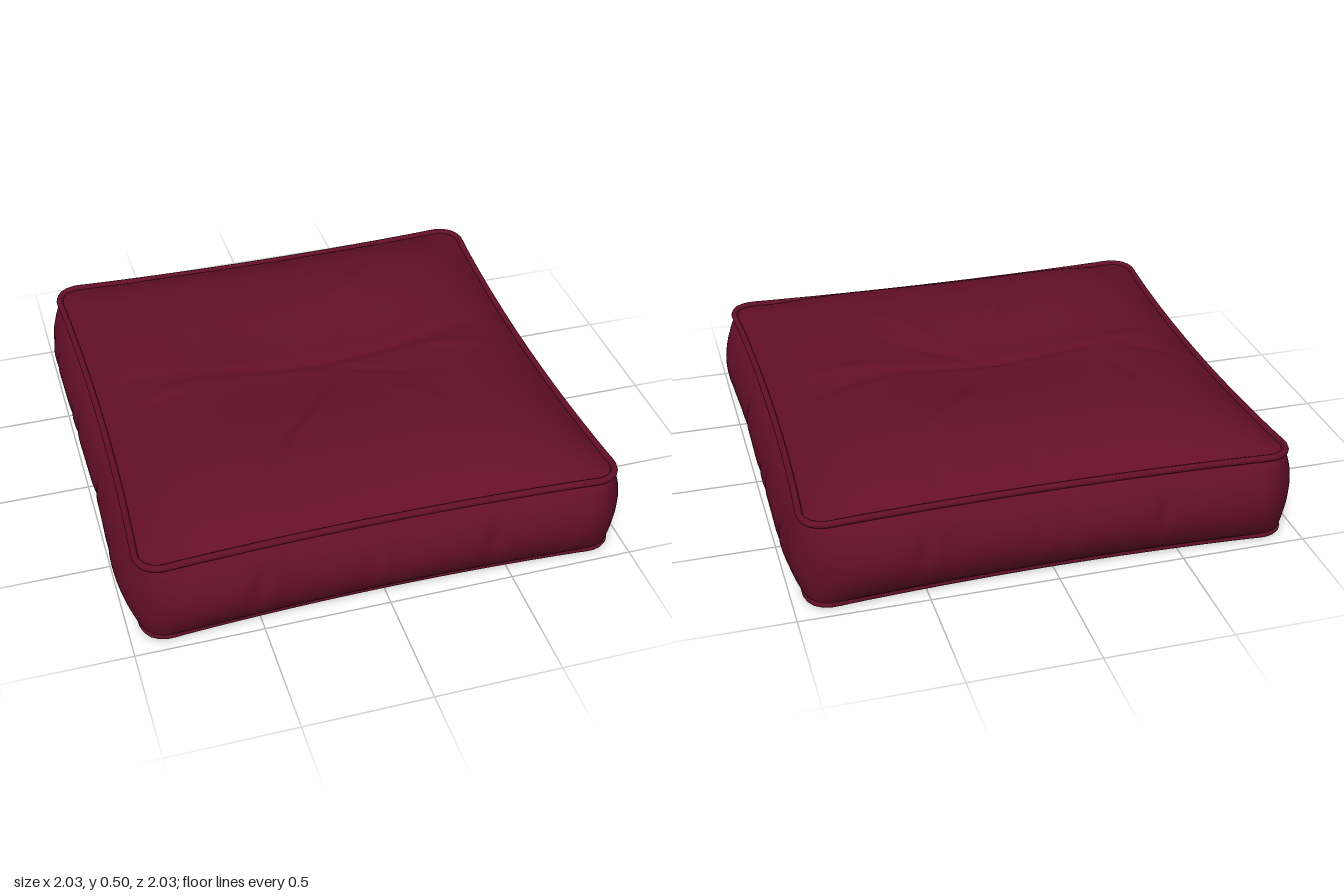
import * as THREE from 'three';

const H = 0.95;        // half width at the seam corners
const R = 0.1;         // seam corner radius
const N = 288;         // points around the cushion

const clamp = THREE.MathUtils.clamp;

// Point j of the rounded square outline, walked from +x towards +z
function outline(j) {
  const t = ((j % N) / N) * 4;
  const side = Math.floor(t + 0.5) % 4;
  const u = (t + 0.5 - Math.floor(t + 0.5)) * 2 - 1;
  let [x, z] = [[H, u * H], [-u * H, H], [-H, -u * H], [u * H, -H]][side];
  const cx = clamp(x, R - H, H - R), cz = clamp(z, R - H, H - R);
  const d = Math.hypot(x - cx, z - cz);
  if (d > 0) {
    x = cx + ((x - cx) / d) * R;
    z = cz + ((z - cz) / d) * R;
  }
  return [x, z];
}

// Seams pull in between the corners
const pinch = (x, z) => [
  x * (1 - 0.035 * (1 - (z / H) ** 2)),
  z * (1 - 0.035 * (1 - (x / H) ** 2)),
];

// Seam heights, sagging along the left and right sides
const topSeam = (x, z) => 0.362 - 0.018 * (1 - (z / H) ** 2) * (x / H) ** 4;
const lowSeam = (x, z) =>
  0.015 + 0.016 * (1 - (z / H) ** 2) * (x / H) ** 4 + 0.005 * (1 - (x / H) ** 2) * (z / H) ** 4;

// Fabric folds on the top: x, z, angle, length, width, height
const folds = [
  [-0.72, -0.1, 0.25, 0.14, 0.03, -0.012], [-0.62, 0.02, -0.1, 0.2, 0.04, 0.01],
  [0.62, -0.08, -0.2, 0.2, 0.035, -0.013], [0.6, 0.04, 0.12, 0.18, 0.035, 0.01],
  [0.28, -0.48, -0.75, 0.16, 0.04, 0.01], [0.18, -0.25, -1.0, 0.15, 0.04, -0.008],
  [-0.28, 0.5, -0.9, 0.2, 0.03, -0.014], [-0.14, 0.42, -0.95, 0.2, 0.035, 0.012],
  [-0.36, 0.66, -1.2, 0.12, 0.03, 0.008], [0.2, 0.1, 0.5, 0.2, 0.03, -0.008],
  [-0.5, -0.3, 1.4, 0.12, 0.03, -0.006], [0.3, 0.35, 0.9, 0.18, 0.04, 0.006],
  [-0.62, -0.83, 1.4, 0.07, 0.025, -0.01], [0.05, -0.84, 1.5, 0.06, 0.025, -0.01],
  [0.42, -0.84, 1.2, 0.07, 0.025, -0.01], [0, -0.02, 0, 0.6, 0.03, -0.012],
];

function topHeight(x, z) {
  const fill = (1 - Math.abs(x / H) ** 5) * (1 - Math.abs(z / H) ** 5);
  let y = 0.15
    - 0.032 * Math.exp(-((z / 0.35) ** 2))
    - 0.05 * Math.exp(-(x * x + z * z) / 0.17)
    + 0.004 * Math.sin(5 * x + 3 * z) * Math.sin(6 * z - 2 * x);
  for (const [fx, fz, a, len, wid, h] of folds) {
    const dx = x - fx, dz = z - fz;
    const along = dx * Math.cos(a) + dz * Math.sin(a);
    const across = dz * Math.cos(a) - dx * Math.sin(a);
    y += h * Math.exp(-((along / len) ** 2) - (across / wid) ** 2);
  }
  return topSeam(x, z) + y * fill;
}

// Vertical puckers on the side band: position along the side, lean, depth
const puckers = [
  [-0.52, 0.06, 0.014], [-0.4, -0.03, 0.012], [-0.08, 0.04, 0.01],
  [0.04, -0.08, 0.014], [0.41, 0.05, 0.016], [0.72, -0.04, 0.008],
];

function pucker(s, v) {
  let d = 0.005 * Math.sin(7 * s + 1);
  for (const [p, lean, depth] of puckers) {
    const c = s - p - lean * (v - 0.5);
    d -= depth * Math.exp(-((c / 0.03) ** 2) - ((v - 0.62) / 0.3) ** 2);
  }
  return d * Math.sin(Math.PI * v);
}

// Skin over closed rings; point(row 0..1, x, z) gives each vertex
function skin(rows, point) {
  const pos = [], index = [];
  for (let i = 0; i <= rows; i++) {
    for (let j = 0; j < N; j++) pos.push(...point(i / rows, ...outline(j)));
  }
  for (let i = 0; i < rows; i++) {
    for (let j = 0; j < N; j++) {
      const k = (j + 1) % N;
      const a = i * N + j, b = i * N + k;
      index.push(a, a + N, b, b, a + N, b + N);
    }
  }
  const g = new THREE.BufferGeometry();
  g.setAttribute('position', new THREE.Float32BufferAttribute(pos, 3));
  g.setIndex(index);
  g.computeVertexNormals();
  return g;
}

export function createModel() {
  const fabric = new THREE.MeshStandardMaterial({ color: 0x640f28 });
  fabric.name = 'burgundy fabric';
  const lining = new THREE.MeshStandardMaterial({ color: 0x3b2725 });
  lining.name = 'dark brown lining';

  const group = new THREE.Group();
  group.name = 'cushion';
  const add = (name, geometry, material) => {
    const mesh = new THREE.Mesh(geometry, material);
    mesh.name = name;
    group.add(mesh);
  };

  // Puffed top panel with a sat-in middle
  add('topPanel', skin(64, (t, x, z) => {
    const s = 1 - t;
    const [px, pz] = pinch(x, z);
    return [px * s, topHeight(x * s, z * s), pz * s];
  }), fabric);

  // Bulging side band between the two seams
  add('sideBand', skin(18, (v, x, z) => {
    const [px, pz] = pinch(x, z);
    const bulge = 0.085 * Math.sin(Math.PI * v) ** 0.75;
    const onX = 1 - Math.abs(z / H) ** 8, onZ = 1 - Math.abs(x / H) ** 8;
    return [
      px + (x / H) * onX * (bulge + pucker(z * 0.9 + 0.2, v) * 0.7 * Math.abs(x / H) ** 8),
      THREE.MathUtils.lerp(lowSeam(x, z), topSeam(x, z), v),
      pz + (z / H) * onZ * (bulge + pucker(x * Math.sign(z), v) * Math.abs(z / H) ** 8),
    ];
  }), fabric);

  // Flat underside
  add('underside', skin(4, (t, x, z) => {
    const [px, pz] = pinch(x, z);
    return [px * t, THREE.MathUtils.lerp(0.018, lowSeam(x, z) - 0.006, t), pz * t];
  }), lining);

  // Piping along both seams
  const piping = (name, height, radius, grow) => {
    const pts = [];
    for (let j = 0; j < N; j += 3) {
      const [x, z] = outline(j);
      const [px, pz] = pinch(x, z);
      pts.push(new THREE.Vector3(px * grow, height(x, z), pz * grow));
    }
    const path = new THREE.CatmullRomCurve3(pts, true);
    add(name, new THREE.TubeGeometry(path, 240, radius, 8, true), fabric);
  };
  piping('topPiping', (x, z) => topSeam(x, z) + 0.005, 0.014, 1.004);
  piping('bottomPiping', lowSeam, 0.012, 1);

  return group;
}
